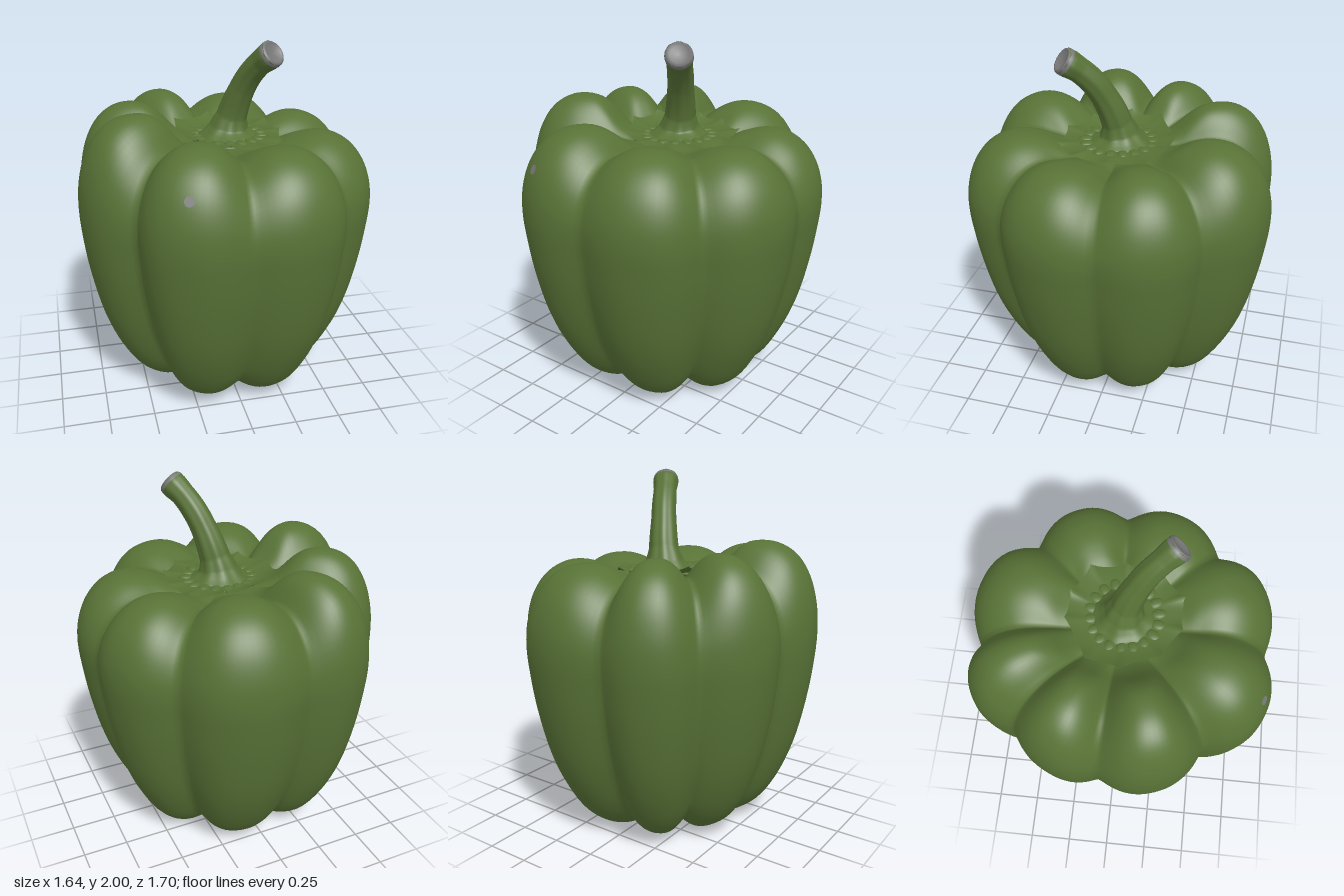
import * as THREE from 'three';

const { smoothstep, lerp, degToRad } = THREE.MathUtils;
const V = (x, y, z) => new THREE.Vector3(x, y, z);

const skin = new THREE.MeshStandardMaterial({ color: 0x587236, side: THREE.DoubleSide });
skin.name = 'pepper green';
const cut = new THREE.MeshStandardMaterial({ color: 0x777777, side: THREE.DoubleSide });
cut.name = 'dry grey';

// Closed rings of points, rows running along the surface; rows below split use material 0
function ringSurface(rows, cols, point, split = 0) {
  const pos = [], idx = [];
  for (let j = 0; j <= rows; j++)
    for (let i = 0; i < cols; i++) pos.push(...point(j / rows, i / cols).toArray());
  for (let j = 0; j < rows; j++)
    for (let i = 0; i < cols; i++) {
      const a = j * cols + i, b = j * cols + (i + 1) % cols;
      idx.push(a, a + cols, b, b, a + cols, b + cols);
    }
  const g = new THREE.BufferGeometry();
  g.setAttribute('position', new THREE.Float32BufferAttribute(pos, 3));
  g.setIndex(idx);
  g.computeVertexNormals();
  if (split) {
    g.addGroup(0, split * cols * 6, 0);
    g.addGroup(split * cols * 6, (rows - split) * cols * 6, 1);
  }
  return g;
}

// Lobes: groove angle in degrees, groove radius, groove crest height, lobe radius, lobe crest height
const lobes = [
  [-3, 0.775, 1.41, 0.846, 1.49],
  [44, 0.765, 1.43, 0.876, 1.515],
  [91, 0.808, 1.44, 0.892, 1.565],
  [138, 0.745, 1.46, 0.842, 1.64],
  [185, 0.755, 1.48, 0.828, 1.61],
  [224, 0.775, 1.48, 0.884, 1.6],
  [261, 0.79, 1.45, 0.872, 1.545],
  [313, 0.76, 1.42, 0.842, 1.5],
];

// Lobe profile: relative radius, height
const profile = new THREE.CatmullRomCurve3([
  [0.003, 0.03], [0.05, 0.045], [0.1, 0.075], [0.2, 0.045], [0.35, 0.01], [0.5, 0.028],
  [0.655, 0.12], [0.78, 0.285], [0.878, 0.49], [0.948, 0.74], [0.985, 0.95], [1, 1.1],
  [0.987, 1.22], [0.935, 1.34], [0.845, 1.435], [0.725, 1.49], [0.6, 1.5], [0.47, 1.475],
  [0.35, 1.43], [0.2, 1.41], [0.003, 1.41],
].map(([r, y]) => V(r, y, 0)));

function bodyPoint(v, u) {
  const s = Math.min(u * 8, 7.9999), k = Math.floor(s), f = s - k;
  const A = lobes[k], B = lobes[(k + 1) % 8];
  const ang = degToRad(lerp(A[0], B[0] + (k === 7 ? 360 : 0), f));
  const w = Math.pow(1 - Math.pow(Math.abs(2 * f - 1), 2.4), 1.3);
  const p = profile.getPoint(v);
  const groove = lerp(A[1], B[1], f), crest = lerp(lerp(A[2], B[2], f), A[4], w);
  // grooves cut deeper toward the bottom
  const deep = 1 + 0.4 * (1 - smoothstep(p.y, 0.1, 0.9));
  const r = p.x * (A[3] - (A[3] - groove) * (1 - w) * deep);
  const x = r * Math.cos(ang), z = r * Math.sin(ang);
  const base = 1 - smoothstep(p.y, 0, 0.3);
  let y = p.y + (crest - 1.5) * smoothstep(p.y, 0.9, 1.5) * smoothstep(p.x, 0.2, 0.55);
  y += base * (0.05 * (1 - w) * smoothstep(p.x, 0.15, 0.3) - 0.025 * x);
  // blossom end sits a little off centre
  const shift = -0.035 * base * (1 - smoothstep(p.x, 0.15, 0.6));
  return V(x + shift, y, z + shift);
}

// Stem: bent sweep with ribs that fade toward the tip
const stemPath = new THREE.CatmullRomCurve3([
  V(0.038, 1.43, 0.008), V(0.042, 1.5, 0.01), V(0.064, 1.6, 0.028), V(0.09, 1.7, 0.065),
  V(0.125, 1.8, 0.118), V(0.165, 1.88, 0.185), V(0.212, 1.944, 0.26),
]);
const stemRadius = [[0, 0.18], [0.06, 0.165], [0.11, 0.135], [0.17, 0.107], [0.28, 0.083],
  [0.55, 0.07], [0.85, 0.066], [0.94, 0.073], [1, 0.07]];
const across = V(0.82, 0, -0.572).normalize();

function radiusAt(t) {
  let k = 0;
  while (k < stemRadius.length - 2 && t > stemRadius[k + 1][0]) k++;
  const [a, b] = [stemRadius[k], stemRadius[k + 1]];
  return lerp(a[1], b[1], (t - a[0]) / (b[0] - a[0]));
}

function stemRing(t, u, r, push = 0) {
  const a = u * Math.PI * 2, T = stemPath.getTangent(t);
  const C = across.clone().cross(T).normalize();
  return stemPath.getPoint(t).addScaledVector(T, push)
    .addScaledVector(across, r * Math.cos(a)).addScaledVector(C, r * Math.sin(a));
}

// Calyx rim corners: x, z
const rim = [[0.34, 0], [0.3, 0.2], [0.18, 0.325], [-0.02, 0.325], [-0.18, 0.22],
  [-0.27, 0.02], [-0.24, -0.17], [-0.02, -0.3], [0.14, -0.29], [0.31, -0.2]];

// Collar surface: low in the middle, tips lifted, tilted up toward the taller lobes
function calyxPoint(v, u) {
  const s = u * 10, k = Math.floor(s) % 10, f = s - Math.floor(s);
  const A = rim[k], B = rim[(k + 1) % 10];
  const tip = Math.pow(Math.abs(2 * f - 1), 3);
  const q = (1 - v * 0.6) * (1 - 0.03 * (1 - tip) * (1 - v));
  const cx = 0.035, cz = 0.01;
  const x = cx + (lerp(A[0], B[0], f) - cx) * q;
  const z = cz + (lerp(A[1], B[1], f) - cz) * q;
  const y = 1.455 + (1 - v) ** 2 * (0.016 + 0.022 * tip - 0.07 * x - 0.04 * z);
  return V(x, y, z);
}

export function createModel() {
  const group = new THREE.Group();
  const add = (name, geometry, material) => {
    const m = new THREE.Mesh(geometry, material);
    m.name = name;
    group.add(m);
    return m;
  };

  // Lobed body with a grey blossom scar underneath
  add('body', ringSurface(80, 160, bodyPoint, 11), [cut, skin]);

  // Leafy collar with a ring of low bumps
  add('calyx', ringSurface(10, 100, calyxPoint), skin);
  const bump = new THREE.SphereGeometry(0.032, 12, 8);
  for (let i = 0; i < 18; i++) {
    const a = (i / 18) * Math.PI * 2;
    const m = add('calyxBump', bump, skin);
    m.position.set(0.035 + 0.185 * Math.cos(a), 1.452, 0.01 + 0.185 * Math.sin(a));
    m.scale.set(1.3, 0.45, 0.95);
    m.rotation.y = -a;
  }

  // Ribbed stem and its cut end
  add('stem', ringSurface(64, 64, (v, u) => {
    const ribs = 1 + 0.035 * Math.cos(u * Math.PI * 2 * 8) * (1 - 0.5 * v);
    return stemRing(v, u, radiusAt(v) * ribs);
  }), skin);
  const cap = [[0.074, -0.022], [0.073, -0.008], [0.066, 0.005], [0.055, 0.006], [0.046, -0.006], [0.001, -0.008]];
  add('stemCut', ringSurface(5, 32, (v, u) => {
    const [r, push] = cap[Math.round(v * 5)];
    return stemRing(1, u, r, push);
  }), cut);

  // Small pale blemish on the front shoulder
  const u = 2.47 / 8;
  let v = 0.55;
  while (v < 0.8 && bodyPoint(v, u).y < 1.375) v += 0.002;
  const p = bodyPoint(v, u);
  const n = bodyPoint(v + 0.005, u).sub(p).cross(bodyPoint(v, u + 0.003).sub(p)).normalize();
  const spot = add('blemish', new THREE.CircleGeometry(0.026, 20), cut);
  spot.position.copy(p).addScaledVector(n, 0.004);
  spot.lookAt(spot.position.clone().add(n));

  return group;
}
